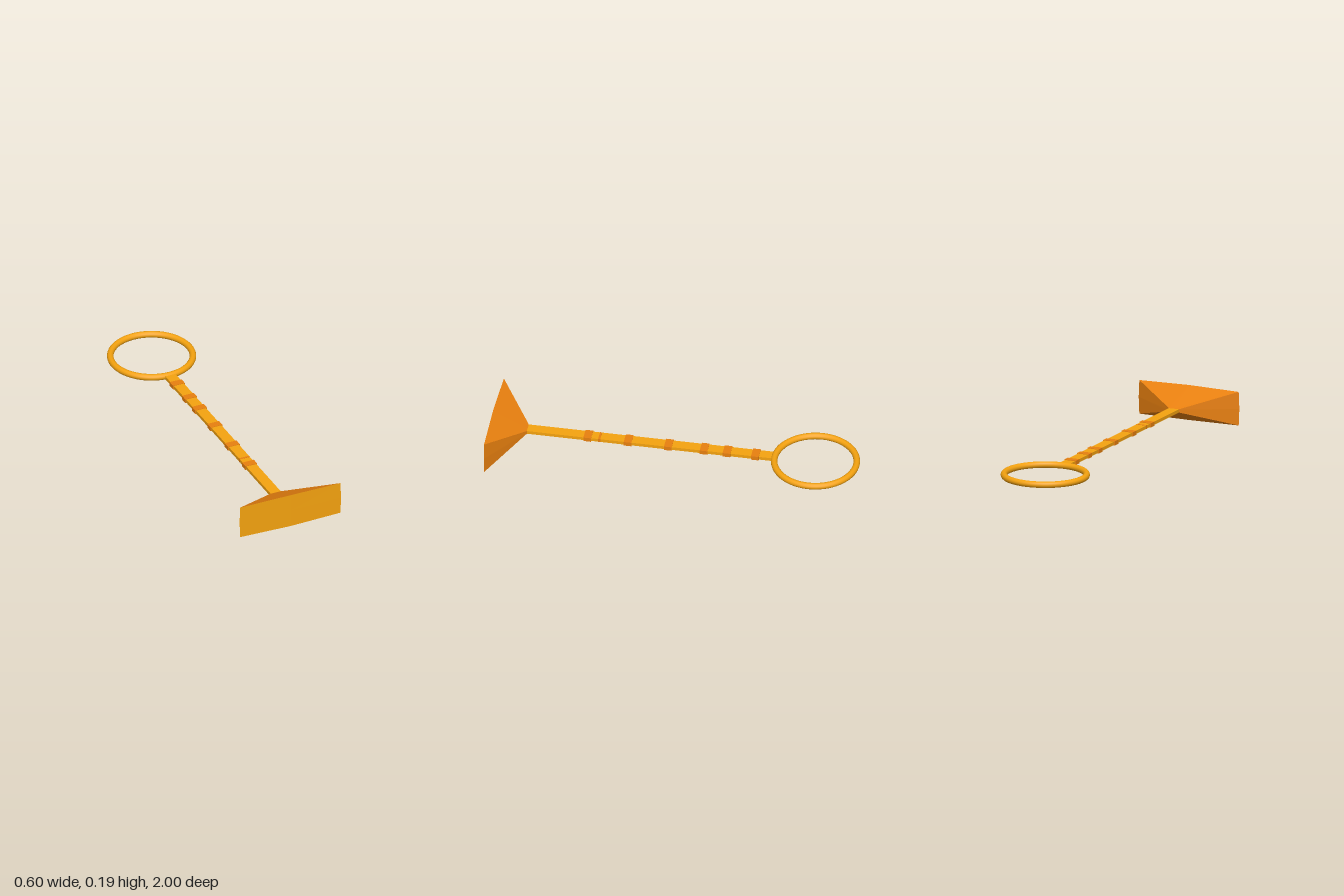
import * as THREE from 'three';

const Y = 0.097; // height of the rod axis

function part(name, geometry, material, x, y, z) {
  const mesh = new THREE.Mesh(geometry, material);
  mesh.name = name;
  mesh.position.set(x, y, z);
  return mesh;
}

// Eight points round a rectangle, with mid-side points pushed out by a bulge
function section(w, h, z, bulge, bow) {
  const ring = [[1, -1], [1, 0], [1, 1], [0, 1], [-1, 1], [-1, 0], [-1, -1], [0, -1]];
  return ring.map(([i, j]) => new THREE.Vector3(
    i * (w + (j === 0 ? bulge : 0)),
    Y + j * (h + (i === 0 ? bulge : 0)),
    z + (i === 0 ? bow : 0)));
}

function triangles(list) {
  const g = new THREE.BufferGeometry().setFromPoints(list);
  g.computeVertexNormals();
  return g;
}

export function createModel() {
  const group = new THREE.Group();
  const gold = new THREE.MeshStandardMaterial({ color: 0xf5a310 });
  const amber = new THREE.MeshStandardMaterial({ color: 0xe8800f, flatShading: true });

  // Ring handle lying flat
  const ring = part('ringHandle', new THREE.TorusGeometry(0.222, 0.018, 12, 64), gold, 0, Y, -0.76);
  ring.rotation.x = Math.PI / 2;
  group.add(ring);

  // Flat bar joining handle and head
  group.add(part('shaft', new THREE.BoxGeometry(0.06, 0.018, 1.35), gold, 0, Y, 0.145));

  // Raised bands along the bar
  for (const z of [-0.435, -0.28, -0.155, 0.04, 0.26, 0.48]) {
    group.add(part('band', new THREE.BoxGeometry(0.07, 0.023, 0.042), amber, 0, Y, z));
  }
  group.add(part('thinBand', new THREE.BoxGeometry(0.061, 0.02, 0.012), amber, 0, Y, 0.415));

  // Flared head: walls between a small back section and a wide front one
  const back = section(0.03, 0.009, 0.81, 0, 0);
  const front = section(0.297, 0.093, 0.995, 0.004, 0.005);
  const walls = [], face = [];
  const centre = new THREE.Vector3(0, Y, 1);
  for (let i = 0; i < 8; i++) {
    const j = (i + 1) % 8;
    walls.push(back[i], front[j], front[i], back[i], back[j], front[j]);
    face.push(centre, front[i], front[j]);
  }
  const head = new THREE.Group();
  head.name = 'head';
  head.add(part('flare', triangles(walls), amber, 0, 0, 0));
  head.add(part('frontPlate', triangles(face), gold, 0, 0, 0));
  group.add(head);

  return group;
}
